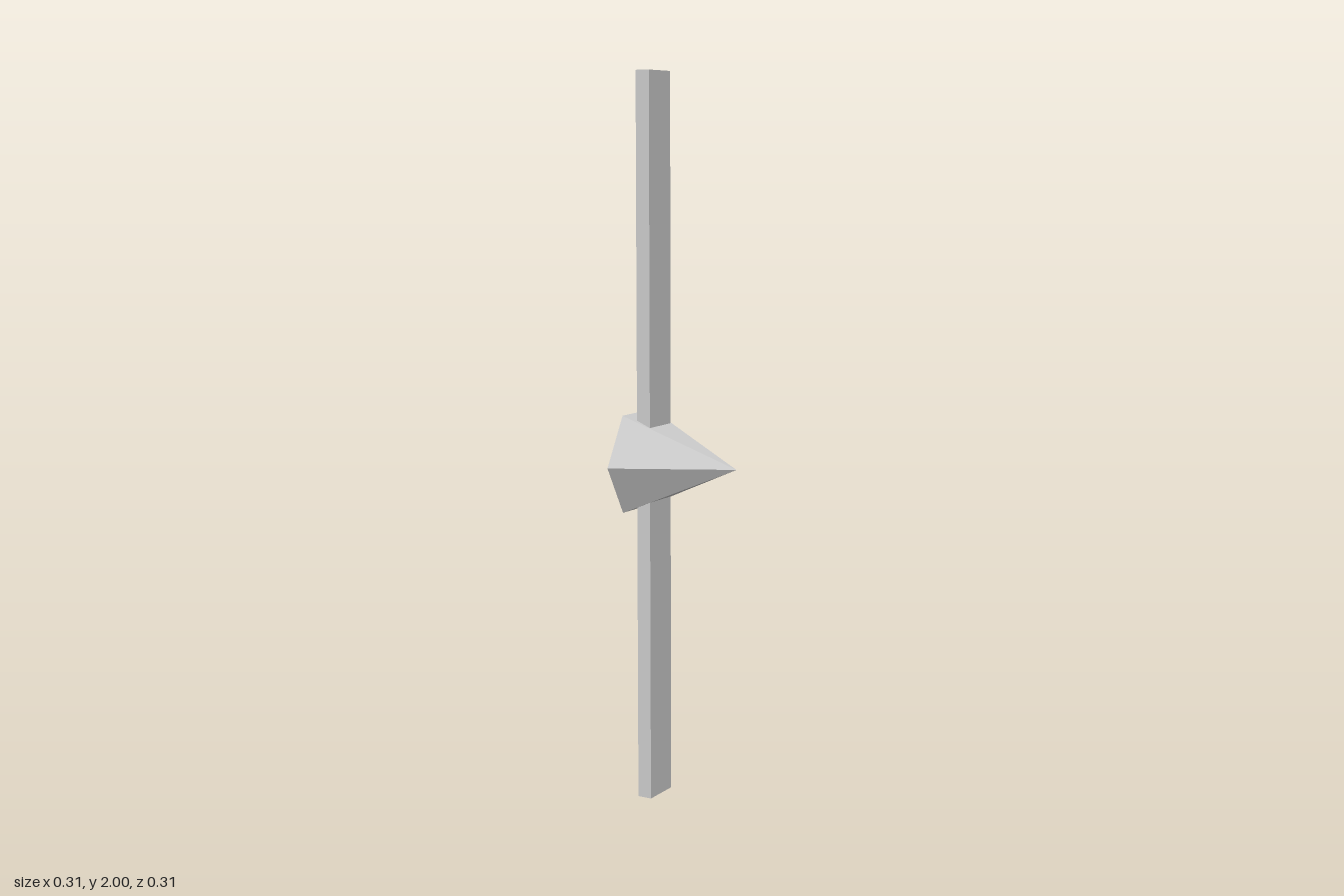
import * as THREE from 'three';

export function createModel() {
  const group = new THREE.Group();
  const material = new THREE.MeshStandardMaterial({ color: 0xcccccc, flatShading: true });

  // Six-sided nose cone pointing along +x, with corners on the z axis
  const cone = new THREE.ConeGeometry(0.155, 0.311, 6);
  cone.rotateZ(-Math.PI / 2);
  const noseCone = new THREE.Mesh(cone, material);
  noseCone.name = 'noseCone';
  noseCone.position.set(0, 0.943, 0);
  group.add(noseCone);

  // One flat bar running through the cone forms both blades
  const blades = new THREE.Mesh(new THREE.BoxGeometry(0.041, 2, 0.11), material);
  blades.name = 'propellerBlades';
  blades.position.set(-0.103, 1, 0);
  group.add(blades);

  return group;
}
